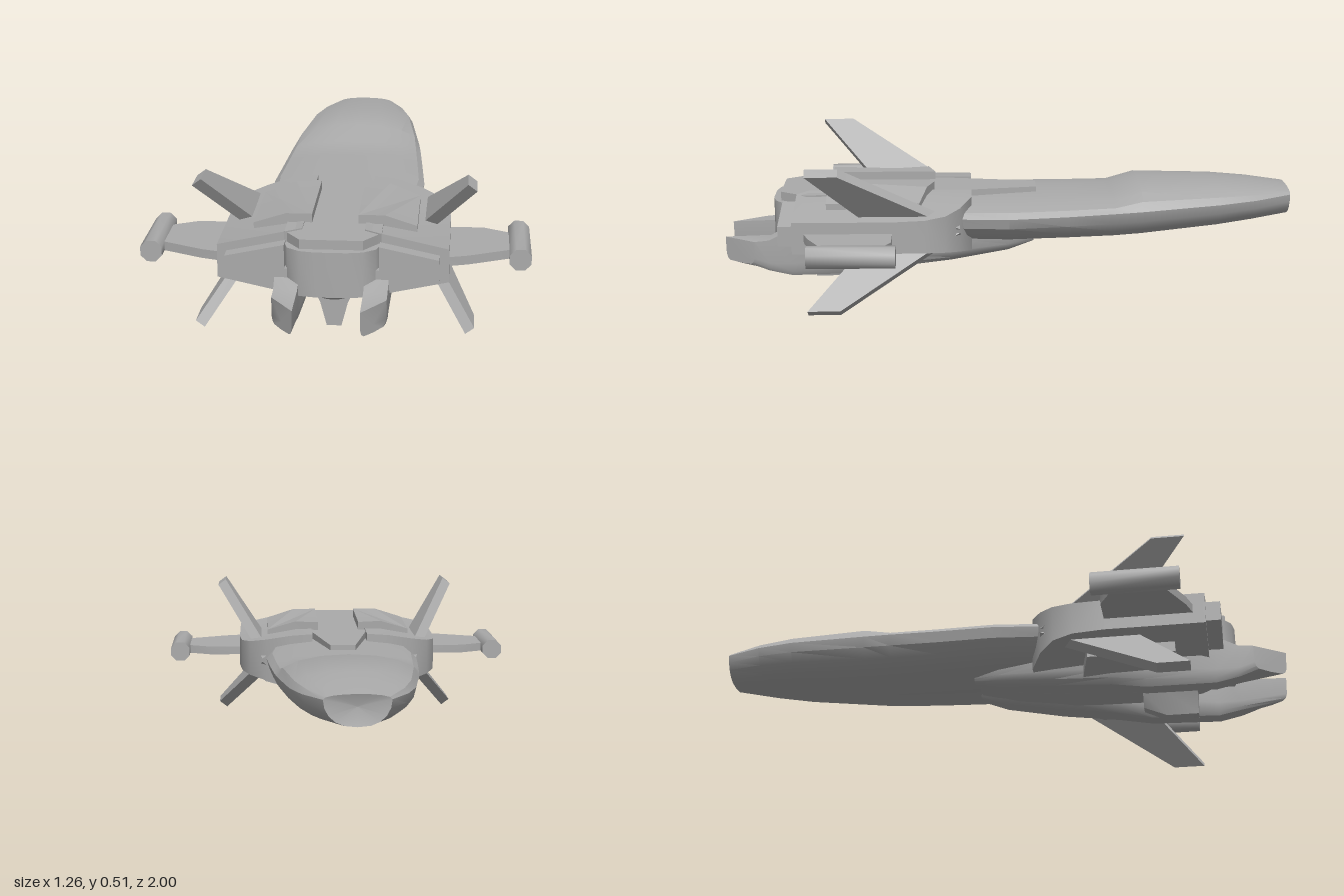
import * as THREE from 'three';
import { toCreasedNormals } from 'three/addons/utils/BufferGeometryUtils.js';

const grey = new THREE.MeshStandardMaterial({ color: 0xaaaaaa });
grey.name = 'hull grey';
const MID = 0.258; // height of the wing plane

function part(name, geometry, crease = 0.6) {
  const mesh = new THREE.Mesh(toCreasedNormals(geometry, crease), grey);
  mesh.name = name;
  return mesh;
}

// Skin over rings of [x, y] points (anticlockwise seen from +z), ordered by rising z
function loft(rings, dent = 0) {
  const pos = [], n = rings[0].pts.length;
  const at = (i, j) => [...rings[i].pts[j % n], rings[i].z];
  const centre = (i, dz) => {
    const s = rings[i].pts.reduce((a, p) => [a[0] + p[0] / n, a[1] + p[1] / n], [0, 0]);
    return [s[0], s[1], rings[i].z + dz];
  };
  const last = rings.length - 1;
  for (let j = 0; j < n; j++) {
    for (let i = 0; i < last; i++) {
      pos.push(...at(i, j), ...at(i, j + 1), ...at(i + 1, j + 1));
      pos.push(...at(i, j), ...at(i + 1, j + 1), ...at(i + 1, j));
    }
    pos.push(...centre(0, dent), ...at(0, j + 1), ...at(0, j));
    pos.push(...centre(last, 0), ...at(last, j), ...at(last, j + 1));
  }
  const g = new THREE.BufferGeometry();
  g.setAttribute('position', new THREE.Float32BufferAttribute(pos, 3));
  g.computeVertexNormals();
  return g;
}

// Plate with an [x, z] outline between two heights
function slab(outline, y0, y1) {
  const shape = new THREE.Shape(outline.map(([x, z]) => new THREE.Vector2(x, -z)));
  return new THREE.ExtrudeGeometry(shape, { depth: y1 - y0, bevelEnabled: false })
    .rotateX(-Math.PI / 2).translate(0, y0, 0);
}

// Move every vertex height by a rule
function reshapeY(g, rule) {
  const p = g.attributes.position;
  for (let i = 0; i < p.count; i++) p.setY(i, rule(p.getX(i), p.getY(i), p.getZ(i)));
  g.computeVertexNormals();
  return g;
}

const mirrorX = (half) => [...half, ...half.slice().reverse().map(([x, z]) => [-x, z])];

// Hull ring: rounded bottom, a sharp side edge and a shallow arched top
function hullRing([z, w, bottom, edge, top]) {
  const pts = [];
  for (let k = 0; k <= 10; k++) {
    const a = Math.PI + (k / 10) * Math.PI, c = Math.cos(a), s = Math.sin(a);
    pts.push([w * Math.sign(c) * Math.abs(c) ** 0.8, edge + (edge - bottom) * s]);
  }
  for (let k = 1; k < 8; k++) {
    const a = (k / 8) * Math.PI, c = Math.cos(a), s = Math.sin(a);
    pts.push([w * c, edge + (top - edge) * s ** 0.9]);
  }
  return { z, pts };
}

// Rounded lower ring around x = cx, flat on top
function bellyRing([z, cx, w, bottom, top], power = 0.8) {
  const pts = [];
  for (let k = 0; k <= 8; k++) {
    const a = Math.PI + (k / 8) * Math.PI, c = Math.cos(a), s = Math.sin(a);
    pts.push([cx + w * Math.sign(c) * Math.abs(c) ** power,
      top - (top - bottom) * Math.abs(s) ** power]);
  }
  return { z, pts };
}

// Everything that exists once on each side, built for +x
function buildSide() {
  const side = new THREE.Group();

  // Shoulder pod, tapering in height toward the outside
  const taper = (inner, outer) => (x, y) => {
    const h = THREE.MathUtils.mapLinear(x, 0.155, 0.37, inner, outer);
    return MID + Math.sign(y - MID) * Math.min(h, inner);
  };
  const podPlan = [[0.1, 0.13], [0.18, 0.13], [0.27, 0.17], [0.33, 0.22], [0.36, 0.29],
    [0.37, 0.4], [0.37, 0.74], [0.155, 0.74], [0.1, 0.7]];
  side.add(part('shoulderPod', reshapeY(slab(podPlan, 0.1, 0.4), taper(0.102, 0.055))));
  const intake = slab([[0.15, 0.7], [0.34, 0.7], [0.34, 0.79], [0.15, 0.79]], 0.1, 0.4);
  side.add(part('podFront', reshapeY(intake, taper(0.075, 0.028))));

  // Armour plates above and below the pod
  const platePlan = [[0.075, 0.26], [0.16, 0.285], [0.265, 0.31], [0.265, 0.63], [0.16, 0.63], [0.075, 0.63]];
  const slope = (x, y) => y - Math.max(0, x - 0.16) * 0.32;
  side.add(part('upperPlate', reshapeY(slab(platePlan, 0.335, 0.385), slope), 0.2));
  const lower = slab([[0.15, 0.3], [0.275, 0.33], [0.275, 0.63], [0.15, 0.63]], 0.12, 0.19);
  side.add(part('lowerPlate', reshapeY(lower, (x, y) => y + Math.max(0, x - 0.18) * 0.32), 0.2));

  // Flat wing with a pod at its tip
  side.add(part('wing', slab([[0.3, 0.4], [0.48, 0.4], [0.575, 0.45], [0.575, 0.61], [0.43, 0.68], [0.3, 0.72]],
    MID - 0.015, MID + 0.015)));
  const tip = part('wingTipPod', new THREE.CylinderGeometry(0.038, 0.038, 0.29, 8).rotateY(Math.PI / 8)
    .rotateX(Math.PI / 2), 0.9);
  tip.position.set(0.597, MID, 0.525);
  side.add(tip);

  // Slanted fins, one up and one down
  for (const s of [1, -1]) {
    const g = slab([[-0.05, 0.17], [0, 0.25], [0.232, 0.575], [0.232, 0.685], [0, 0.5], [-0.05, 0.46]], -0.018, 0.018);
    const fin = part(s > 0 ? 'upperFin' : 'lowerFin', g);
    fin.rotation.z = s * 0.925;
    fin.position.set(0.3, MID + s * 0.057, 0);
    side.add(fin);
  }

  // Boom under the belly ending in a pointed prong
  const boom = [[-0.09, 0.07, 0.03, 0.168, 0.19], [0, 0.08, 0.06, 0.14, 0.2], [0.2, 0.1, 0.075, 0.11, 0.2],
    [0.4, 0.125, 0.065, 0.09, 0.2], [0.52, 0.135, 0.055, 0.068, 0.21], [0.76, 0.142, 0.04, 0.066, 0.24],
    [0.84, 0.142, 0.038, 0.085, 0.2], [0.95, 0.142, 0.038, 0.11, 0.195]];
  const boomGeo = loft(boom.map((r) => bellyRing(r, r[0] > 0.7 ? 0.35 : 0.7)));
  const p = boomGeo.attributes.position;
  for (let i = 0; i < p.count; i++) {
    if (p.getZ(i) > 0.94) p.setZ(i, THREE.MathUtils.mapLinear(p.getX(i), 0.104, 0.18, 1, 0.89));
  }
  boomGeo.computeVertexNormals();
  side.add(part('prongBoom', boomGeo));
  const bracket = part('boomBracket', new THREE.BoxGeometry(0.035, 0.08, 0.1));
  bracket.position.set(0.142, 0.215, 0.74);
  side.add(bracket);
  return side;
}

export function createModel() {
  const model = new THREE.Group();
  model.name = 'spacecraft';

  // Long tail hull: z, half width, bottom, side edge, top
  const hull = [[-1, 0.105, 0.25, 0.335, 0.352], [-0.87, 0.165, 0.232, 0.328, 0.368], [-0.74, 0.2, 0.215, 0.322, 0.378],
    [-0.465, 0.236, 0.188, 0.308, 0.384], [-0.37, 0.245, 0.182, 0.304, 0.343], [-0.2, 0.257, 0.178, 0.297, 0.34],
    [0, 0.27, 0.175, 0.292, 0.338], [0.2, 0.25, 0.178, 0.29, 0.335], [0.45, 0.2, 0.18, 0.29, 0.335]];
  model.add(part('hull', loft(hull.map(hullRing), 0.015), 0.45));

  // Rounded nose block
  const nose = mirrorX([[0.15, 0.2], [0.155, 0.74], [0.14, 0.79], [0.1, 0.82], [0.05, 0.83]]);
  model.add(part('noseBlock', slab(nose, 0.175, 0.325), 0.7));

  // Deck with a tapering spine
  const deck = mirrorX([[0.045, -0.1], [0.11, 0.27], [0.155, 0.45], [0.155, 0.72], [0.1, 0.8]]);
  model.add(part('spineDeck', slab(deck, 0.31, 0.356)));

  // Belly keel, bulb and chin fin
  const keel = [[-0.08, 0, 0.06, 0.17, 0.2], [0.05, 0, 0.11, 0.14, 0.2], [0.25, 0, 0.14, 0.115, 0.2],
    [0.5, 0, 0.13, 0.11, 0.2], [0.7, 0, 0.11, 0.13, 0.2]];
  model.add(part('bellyKeel', loft(keel.map((r) => bellyRing(r)))));
  const bulb = part('bellyBulb', new THREE.SphereGeometry(0.105, 20, 14));
  bulb.scale.set(1, 0.75, 1.2);
  bulb.position.set(0, 0.195, 0.66);
  model.add(bulb);
  const chin = [[0.5, 0.02, 0.06], [0.58, 0.024, 0.025], [0.69, 0.024, 0.025]].map(([z, w, y]) => ({
    z, pts: [[-w, y], [w, y], [0.045, 0.105], [0.065, 0.15], [-0.065, 0.15], [-0.045, 0.105]],
  }));
  model.add(part('chinFin', loft(chin)));

  const left = buildSide();
  left.name = 'leftSide';
  const right = buildSide();
  right.name = 'rightSide';
  right.scale.x = -1;
  model.add(left, right);
  return model;
}
